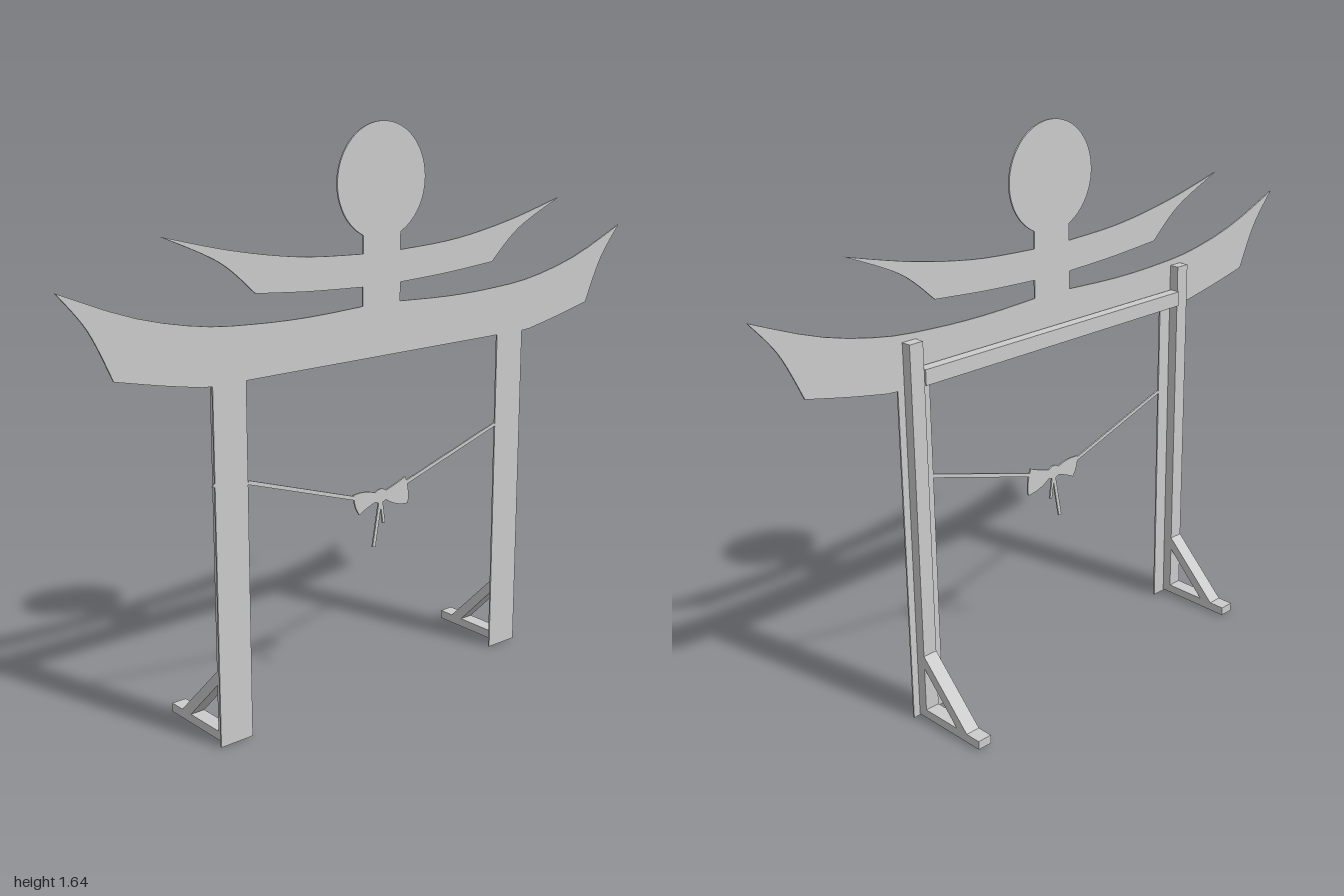
import * as THREE from 'three';

const THICK = 0.005, FRONT = 0.13, BACK = FRONT - THICK;
const material = new THREE.MeshStandardMaterial({ color: 0xcccccc, flatShading: true });

function add(parent, name, geometry, x = 0, y = 0, z = 0) {
  const mesh = new THREE.Mesh(geometry, material);
  mesh.name = name;
  mesh.position.set(x, y, z);
  parent.add(mesh);
  return mesh;
}

// Thin sheet cut to a shape, lying in the facade plane
function sheet(parent, name, shape) {
  const geometry = new THREE.ExtrudeGeometry(shape, { depth: THICK, bevelEnabled: false, curveSegments: 16 });
  return add(parent, name, geometry, 0, 0, BACK);
}

const polygon = (points) => new THREE.Shape(points.map(([x, y]) => new THREE.Vector2(x, y)));
const curve = (points) => new THREE.SplineCurve(points.map(([x, y]) => new THREE.Vector2(x, y))).getPoints(14);

// Flat strip of constant width between two points
function strip(parent, name, a, b, width) {
  const d = new THREE.Vector2(b[0] - a[0], b[1] - a[1]).setLength(width / 2);
  sheet(parent, name, polygon([
    [a[0] + d.y, a[1] - d.x], [b[0] + d.y, b[1] - d.x],
    [b[0] - d.y, b[1] + d.x], [a[0] - d.y, a[1] + d.x],
  ]));
}

// Right half of the gate top: lintel, neck, upper roof and disc, from bottom to top
function gateTopShape() {
  const neck = 0.068, radius = 0.158, cy = 1.483;
  const start = -Math.acos(neck / radius);
  const half = [
    new THREE.Vector2(0.57, 1.0),
    ...curve([[0.6, 1.002], [0.72, 1.025], [0.855, 1.055]]),
    ...curve([[0.855, 1.055], [0.92, 1.187], [1.0, 1.285]]),
    ...curve([[1.0, 1.285], [0.8, 1.205], [0.6, 1.158], [0.42, 1.143], [0.25, 1.14], [neck, 1.147]]),
    new THREE.Vector2(neck, 1.2),
    ...curve([[neck, 1.2], [0.25, 1.208], [0.43, 1.222]]),
    ...curve([[0.43, 1.222], [0.54, 1.312], [0.71, 1.39]]),
    ...curve([[0.71, 1.39], [0.5, 1.338], [0.28, 1.302], [neck, 1.29]]),
  ];
  for (let i = 0; i <= 28; i++) {
    const t = start + (Math.PI / 2 - start) * (i / 28);
    half.push(new THREE.Vector2(radius * Math.cos(t), cy + radius * Math.sin(t)));
  }
  const mirrored = half.slice(0, -1).reverse().map((p) => new THREE.Vector2(-p.x, p.y));
  // Drop points repeated where curves join
  const outline = [...half, ...mirrored].filter((p, i, all) => i === 0 || p.distanceTo(all[i - 1]) > 1e-5);
  return new THREE.Shape(outline);
}

// Bow with two rounded, slightly uneven lobes
function bowShape() {
  const s = new THREE.Shape();
  s.moveTo(-0.02, 0.578);
  s.quadraticCurveTo(-0.055, 0.568, -0.08, 0.553);
  s.quadraticCurveTo(-0.1, 0.58, -0.101, 0.615);
  s.quadraticCurveTo(-0.06, 0.622, -0.02, 0.606);
  s.quadraticCurveTo(0, 0.622, 0.02, 0.606);
  s.quadraticCurveTo(0.06, 0.617, 0.094, 0.632);
  s.quadraticCurveTo(0.112, 0.59, 0.105, 0.55);
  s.quadraticCurveTo(0.06, 0.55, 0.02, 0.578);
  s.quadraticCurveTo(0, 0.568, -0.02, 0.578);
  return s;
}

export function createModel() {
  const group = new THREE.Group();
  group.name = 'gate';

  // Cut-out facade
  sheet(group, 'gateTop', gateTopShape());
  for (const [name, x0, x1] of [['rightLeg', -0.57, -0.465], ['leftLeg', 0.46, 0.567]]) {
    sheet(group, name, polygon([[x0, 0], [x1, 0], [x1, 1], [x0, 1]]));
  }

  // Rope and bow
  strip(group, 'rightRope', [-0.465, 0.726], [-0.09, 0.603], 0.011);
  strip(group, 'leftRope', [0.09, 0.611], [0.46, 0.725], 0.011);
  strip(group, 'ropeEnd', [-0.576, 0.74], [-0.57, 0.738], 0.011);
  sheet(group, 'bow', bowShape());
  strip(group, 'longBowTail', [-0.002, 0.574], [-0.025, 0.445], 0.011);
  strip(group, 'shortBowTail', [0.003, 0.574], [0.013, 0.51], 0.009);

  // Rear supports: post, foot and diagonal brace
  const width = 0.045;
  for (const [side, x] of [['right', -0.532], ['left', 0.523]]) {
    const support = new THREE.Group();
    support.name = side + 'Support';
    support.position.x = x;
    group.add(support);
    add(support, 'post', new THREE.BoxGeometry(width, 1.1, 0.03), 0, 0.58, 0.11);
    add(support, 'foot', new THREE.BoxGeometry(width, 0.026, 0.255), 0, 0.017, -0.0025);
    // Profile is drawn with its x running to the back, then turned
    const brace = new THREE.ExtrudeGeometry(
      polygon([[-0.095, 0.165], [0.037, 0.03], [0.08, 0.03], [-0.095, 0.205]]),
      { depth: width, bevelEnabled: false });
    brace.translate(0, 0, -width / 2).rotateY(Math.PI / 2);
    add(support, 'brace', brace);
  }

  // Crossbar between the posts
  add(group, 'crossbar', new THREE.BoxGeometry(1.01, 0.045, 0.032), -0.0045, 1.03, 0.105);
  return group;
}
